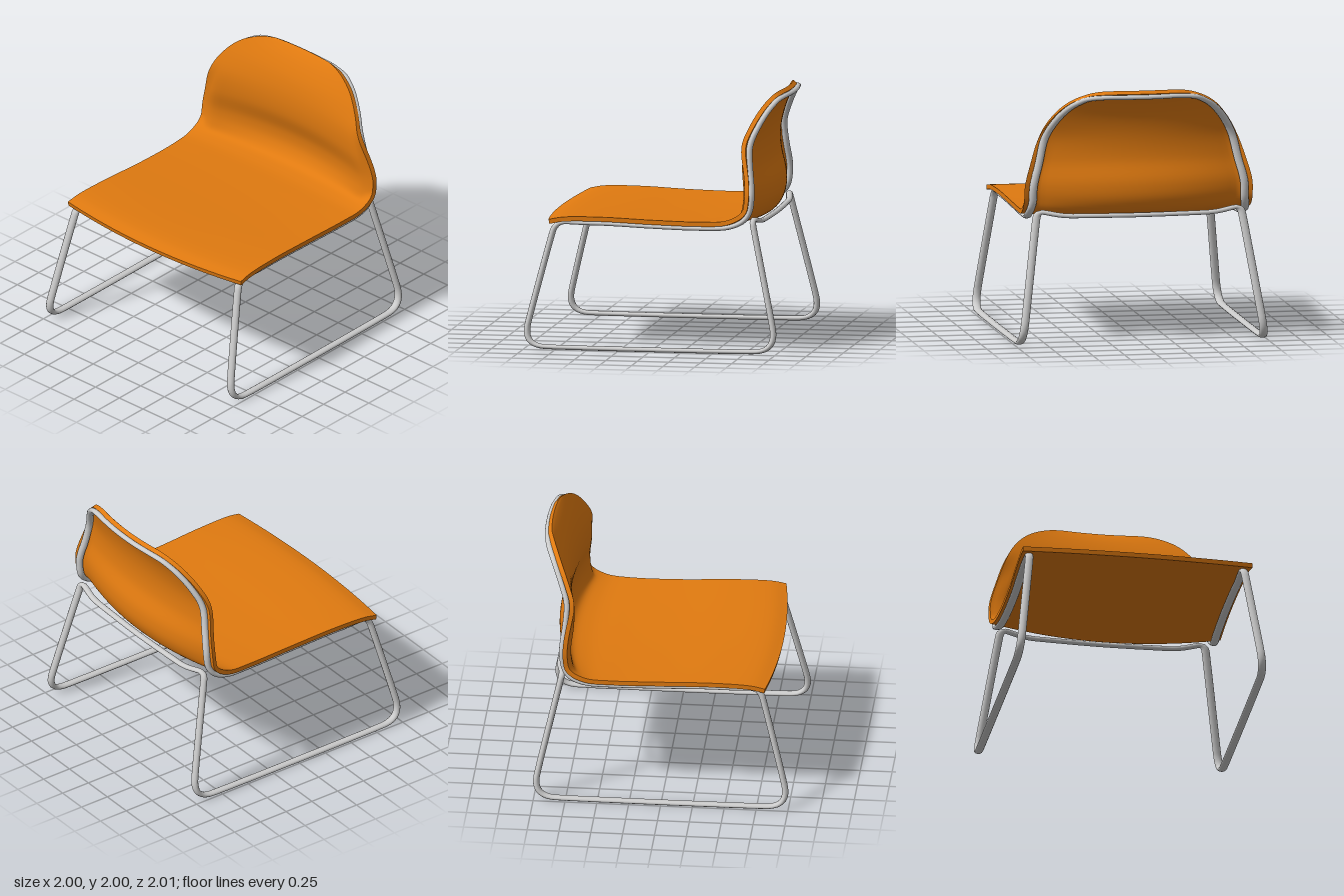
import * as THREE from 'three';
import { toCreasedNormals } from 'three/addons/utils/BufferGeometryUtils.js';

const V = (x, y, z) => new THREE.Vector3(x, y, z);
const smooth = THREE.MathUtils.smoothstep;

// Shell sections from the seat front to the top of the back:
// half width, edge y, edge z, centre y, centre z
const ROWS = [
  [0.91, 1.0, 0.81, 0.985, 0.875],
  [0.905, 1.02, 0.7, 1.01, 0.76],
  [0.895, 1.025, 0.4, 1.01, 0.42],
  [0.885, 1.01, 0, 0.99, 0],
  [0.89, 1.005, -0.4, 0.98, -0.42],
  [0.9, 1.02, -0.59, 0.985, -0.66],
  [0.905, 1.06, -0.67, 1.02, -0.785],
  [0.905, 1.14, -0.69, 1.12, -0.845],
  [0.9, 1.25, -0.7, 1.25, -0.85],
  [0.85, 1.43, -0.69, 1.43, -0.8],
  [0.79, 1.6, -0.705, 1.6, -0.795],
  [0.705, 1.76, -0.765, 1.76, -0.825],
  [0.58, 1.89, -0.835, 1.89, -0.88],
  [0.42, 1.965, -0.895, 1.96, -0.925],
  [0.28, 1.985, -0.93, 1.985, -0.947],
];
const LAST = ROWS.length - 1;
const THICK = 0.036;
const edge = new THREE.CatmullRomCurve3(ROWS.map(r => V(r[0], r[1], r[2])));
const centre = new THREE.CatmullRomCurve3(ROWS.map(r => V(0, r[3], r[4])));

// Middle surface: u runs across (-1..1), t runs along the sections
function surface(u, t) {
  const e = edge.getPoint(t / LAST), c = centre.getPoint(t / LAST);
  const p = c.lerp(e, u * u);
  p.x = e.x * u;
  // side lip of the lower back curls rearward
  p.z -= 0.06 * smooth(Math.abs(u), 0.87, 1) * smooth(t, 5.5, 7) * (1 - smooth(t, 8.5, 10.5));
  return p;
}

function offset(u, t, d) {
  const h = 0.01;
  const t0 = Math.max(0, t - h), t1 = Math.min(LAST, t + h);
  const u0 = Math.max(-1, u - h), u1 = Math.min(1, u + h);
  const du = surface(u1, t).sub(surface(u0, t));
  const dt = surface(u, t1).sub(surface(u, t0));
  return surface(u, t).addScaledVector(du.cross(dt).normalize(), d);
}

// Moulded sheet: upper and lower skins joined by a rim
function shellGeometry() {
  const nu = 40, nt = 84, pos = [], idx = [];
  const row = nu + 1, skin = row * (nt + 1);
  for (const d of [THICK / 2, -THICK / 2])
    for (let j = 0; j <= nt; j++)
      for (let i = 0; i <= nu; i++)
        pos.push(...offset(-1 + 2 * i / nu, LAST * j / nt, d).toArray());
  const quad = (a, b, c, d) => idx.push(a, b, c, a, c, d);
  for (let j = 0; j < nt; j++)
    for (let i = 0; i < nu; i++) {
      const a = j * row + i, b = a + 1, c = b + row, d = a + row;
      quad(a, b, c, d);
      quad(a + skin, d + skin, c + skin, b + skin);
    }
  const rim = (a, b) => quad(a, a + skin, b + skin, b);
  for (let i = 0; i < nu; i++) {
    rim(i, i + 1);
    rim(nt * row + i + 1, nt * row + i);
  }
  for (let j = 0; j < nt; j++) {
    rim((j + 1) * row, j * row);
    rim(j * row + nu, (j + 1) * row + nu);
  }
  const g = new THREE.BufferGeometry();
  g.setAttribute('position', new THREE.Float32BufferAttribute(pos, 3));
  g.setIndex(idx);
  return toCreasedNormals(g, 0.8);
}

// Oval tube: swept round in a squeezed space, then stretched back
const OVAL = V(1.28, 0.72, 1);
function ovalTube(points, segments) {
  const path = new THREE.CatmullRomCurve3(points.map(p => p.clone().divide(OVAL)));
  const g = new THREE.TubeGeometry(path, segments, 0.025, 12, false);
  return g.scale(OVAL.x, OVAL.y, OVAL.z);
}

// Points along a polyline whose corners are rounded by radius r
function roundCorners(list) {
  const out = [list[0].p];
  for (let i = 1; i < list.length - 1; i++) {
    const { p, r } = list[i];
    const towards = q => p.clone().add(q.clone().sub(p).setLength(r));
    const bend = new THREE.QuadraticBezierCurve3(towards(list[i - 1].p), p, towards(list[i + 1].p));
    out.push(...bend.getPoints(8));
  }
  out.push(list[list.length - 1].p);
  return out;
}

// Completes a left half path with its mirror image
const mirrored = pts => [...pts, ...pts.slice(0, -1).reverse().map(p => V(-p.x, p.y, p.z))];

export function createModel() {
  const model = new THREE.Group();
  const orange = new THREE.MeshStandardMaterial({ color: 0xe07a10 });
  const grey = new THREE.MeshStandardMaterial({ color: 0xcccccc });
  const add = (name, geometry, material) => {
    const m = new THREE.Mesh(geometry, material);
    m.name = name;
    model.add(m);
  };

  add('seatShell', shellGeometry(), orange);

  // Tube under the seat edges and around the rear of the backrest
  const gap = -THICK / 2 - 0.018;
  const rail = [];
  for (let t = 1.6; t < 13; t += 0.4) rail.push(offset(0.945, t, gap));
  rail.push(offset(0.75, 13.35, gap), offset(0.4, 13.5, gap), offset(0, 13.5, gap));
  add('backAndSeatTube', ovalTube(mirrored(rail), 260), grey);

  // Sled legs with floor runners, joined by the rear crossbar
  const legs = roundCorners([
    { p: rail[0] },
    { p: V(0.848, 0.995, 0.77), r: 0.09 },
    { p: V(0.968, 0.02, 1.015), r: 0.2 },
    { p: V(0.968, 0.02, -1.015), r: 0.2 },
    { p: V(0.81, 1.045, -0.785), r: 0.06 },
    { p: V(0.6, 1.005, -0.825), r: 0.08 },
    { p: V(0, 1.0, -0.835) },
  ]);
  add('sledLegsAndCrossbar', ovalTube(mirrored(legs), 500), grey);

  return model;
}
